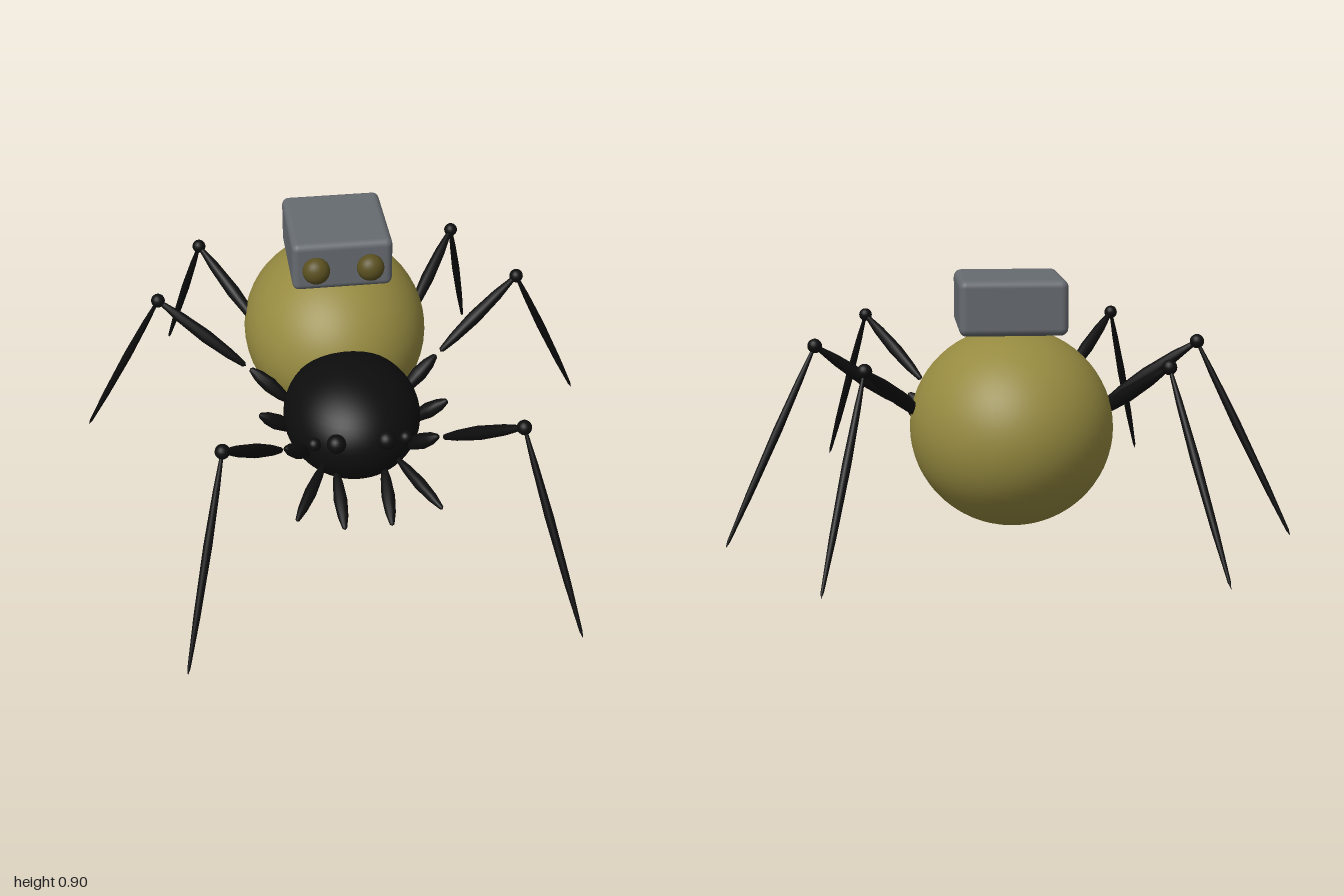
import * as THREE from 'three';
import { RoundedBoxGeometry } from 'three/addons/geometries/RoundedBoxGeometry.js';

const mat = (name, color) => {
  const m = new THREE.MeshStandardMaterial({ color });
  m.name = name;
  return m;
};

export function createModel() {
  const black = mat('black', 0x0d0d0d);
  const olive = mat('olive', 0x968a40);
  const darkOlive = mat('darkOlive', 0x5a5020);
  const grey = mat('grey', 0x666b70);

  const root = new THREE.Group();
  root.name = 'spiderRobot';

  const add = (parent, name, geometry, material) => {
    const mesh = new THREE.Mesh(geometry, material);
    mesh.name = name;
    parent.add(mesh);
    return mesh;
  };

  const ellipsoid = (parent, name, pos, radii, material, detail = 24) => {
    const mesh = add(parent, name, new THREE.SphereGeometry(1, detail * 2, detail), material);
    mesh.position.set(...pos);
    mesh.scale.set(...radii);
    return mesh;
  };

  // Pointed limb segment running from a to b; peak is where it is thickest
  const spindle = (parent, name, a, b, radius, peak = 0.5) => {
    const start = new THREE.Vector3(...a);
    const dir = new THREE.Vector3(...b).sub(start);
    const length = dir.length();
    const profile = [
      [0, 0], [0.4, 0.02], [0.75, peak * 0.4], [1, peak],
      [0.78, peak + (1 - peak) * 0.55], [0.35, 0.97], [0, 1],
    ].map(([r, t]) => new THREE.Vector2(r * radius, t * length));
    const mesh = add(parent, name, new THREE.LatheGeometry(profile, 12), black);
    mesh.position.copy(start);
    mesh.quaternion.setFromUnitVectors(new THREE.Vector3(0, 1, 0), dir.normalize());
    return mesh;
  };

  // Body
  ellipsoid(root, 'abdomen', [0, 0.4, -0.39], [0.342, 0.332, 0.392], olive, 32);
  ellipsoid(root, 'head', [0, 0.34, 0.105], [0.245, 0.202, 0.285], black, 28);

  // Box on the back with two round lenses
  const pack = new THREE.Group();
  pack.name = 'backBox';
  root.add(pack);
  const box = add(pack, 'boxBody', new RoundedBoxGeometry(0.36, 0.185, 0.38, 4, 0.025), grey);
  box.position.set(0, 0.812, -0.32);

  // Legs: hip, thigh, knee and shin, given for the +x side
  const legs = [
    { name: 'frontLeg', hip: [[0.17, 0.30, 0.27], [0.265, 0.41, 0.375]],
      thigh: [0.28, 0.42, 0.395], knee: [0.49, 0.636, 0.66], foot: [0.652, 0, 0.995] },
    { name: 'stubLeg', hip: [[0.21, 0.305, 0.125], [0.335, 0.41, 0.17]] },
    { name: 'middleLeg', hip: [[0.21, 0.295, -0.06], [0.345, 0.415, -0.115]],
      thigh: [0.36, 0.425, -0.12], knee: [0.66, 0.656, -0.24], foot: [0.965, 0, -0.42] },
    { name: 'rearLeg', hip: [[0.17, 0.30, -0.24], [0.265, 0.41, -0.345]],
      thigh: [0.28, 0.42, -0.365], knee: [0.49, 0.636, -0.645], foot: [0.63, 0, -1] },
  ];

  for (const side of [1, -1]) {
    const label = side > 0 ? 'left' : 'right';
    const m = ([x, y, z]) => [x * side, y, z];
    const group = (name) => {
      const g = new THREE.Group();
      g.name = label + name;
      root.add(g);
      return g;
    };

    ellipsoid(pack, label + 'Lens', [0.097 * side, 0.81, -0.115], [0.049, 0.049, 0.043], darkOlive, 16);

    for (const leg of legs) {
      const g = group(leg.name[0].toUpperCase() + leg.name.slice(1));
      spindle(g, 'hip', m(leg.hip[0]), m(leg.hip[1]), 0.029);
      if (!leg.knee) continue;
      spindle(g, 'thigh', m(leg.thigh), m(leg.knee), 0.025, 0.45);
      ellipsoid(g, 'knee', m(leg.knee), [0.025, 0.025, 0.025], black, 10);
      spindle(g, 'shin', m(leg.knee), m(leg.foot), 0.015, 0.42);
    }

    // Mouth parts and eyes
    const face = group('Face');
    spindle(face, 'feeler', m([0.13, 0.3, 0.34]), m([0.25, 0.25, 0.575]), 0.022);
    spindle(face, 'fang', m([0.085, 0.26, 0.33]), m([0.082, 0.17, 0.545]), 0.024);
    ellipsoid(face, 'mainEye', m([0.087, 0.4, 0.36]), [0.034, 0.034, 0.034], black, 12);
    ellipsoid(face, 'sideEye', m([0.16, 0.38, 0.325]), [0.024, 0.024, 0.024], black, 12);
  }
  return root;
}
